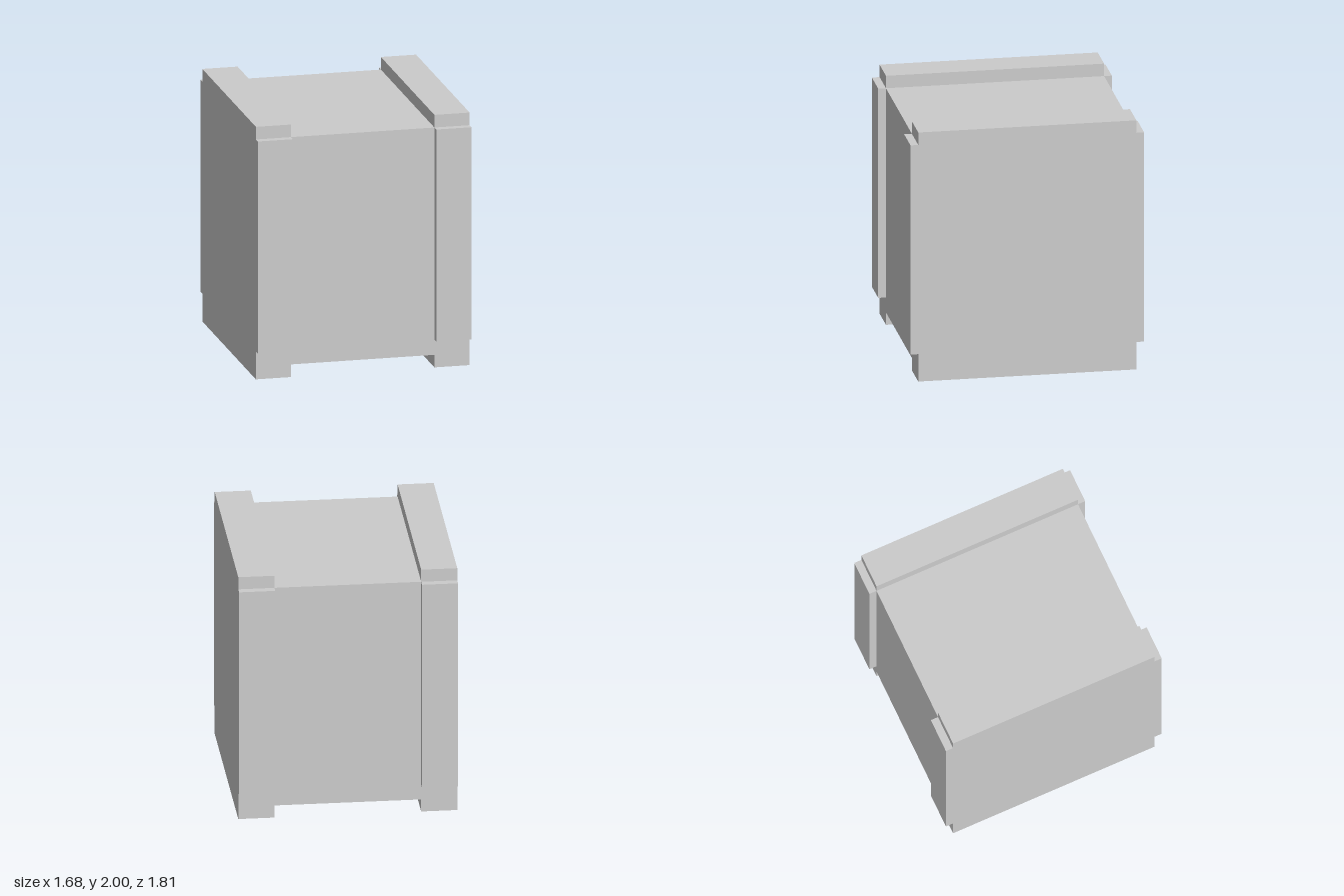
import * as THREE from 'three';

const material = new THREE.MeshStandardMaterial({ color: 0xcccccc, flatShading: true });

// Box given by its lower and upper corners
function block(name, min, max) {
  const size = max.map((v, i) => v - min[i]);
  const mesh = new THREE.Mesh(new THREE.BoxGeometry(...size), material);
  mesh.position.set(...max.map((v, i) => (v + min[i]) / 2));
  mesh.name = name;
  return mesh;
}

export function createModel() {
  const group = new THREE.Group();
  group.name = 'crate';
  const X = 0.84, Z = 0.845; // half width and depth of the crate
  const inner = 0.563;       // inner edge of the slats
  const rim = 0.565;         // inner edge of the bottom rim
  const slatZ = 0.905;       // outer face of the upright slats

  // Main body, its underside set in behind the bottom rim
  group.add(block('body', [-X, 0.2, -Z], [X, 1.9, Z]));

  for (const [s, side] of [[1, 'left'], [-1, 'right']]) {
    const x0 = s > 0 ? inner : -X;
    const x1 = s > 0 ? X : -inner;

    // Runners along the top and the bottom
    group.add(block(`${side}TopSlat`, [x0, 1.9, -Z], [x1, 2, Z]));
    group.add(block(`${side}BottomRunner`, [x0, 0, -Z], [x1, 0.2, Z]));

    // Upright slats on the front and the back
    group.add(block(`${side}FrontSlat`, [x0, 0.22, Z], [x1, 1.9, slatZ]));
    group.add(block(`${side}BackSlat`, [x0, 0.22, -slatZ], [x1, 1.9, -Z]));
  }

  // Cross rails closing the bottom rim between the runners
  group.add(block('frontBottomRail', [-inner, 0.1, rim], [inner, 0.2, Z]));
  group.add(block('backBottomRail', [-inner, 0.1, -Z], [inner, 0.2, -rim]));

  return group;
}
